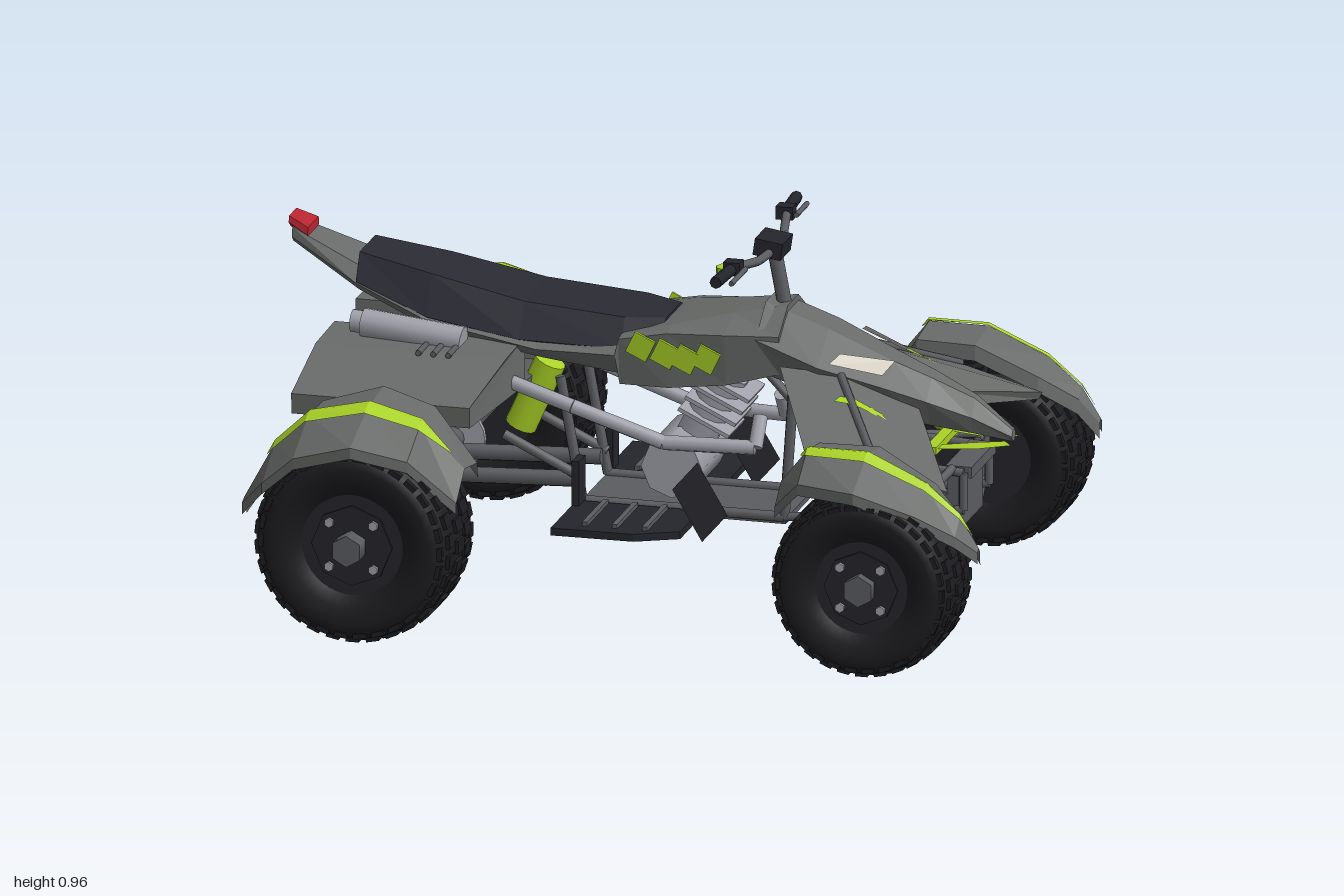
import * as THREE from 'three';
import { mergeGeometries } from 'three/addons/utils/BufferGeometryUtils.js';

const mat = (name, color) => {
  const m = new THREE.MeshStandardMaterial({ color, side: THREE.DoubleSide });
  m.name = name;
  return m;
};

export function createModel() {
  const M = {
    body: mat('bodyGrey', 0x686b69), frame: mat('frameGrey', 0x5c5d61), lime: mat('lime', 0xaad326),
    seat: mat('seatNavy', 0x2a2a34), tyre: mat('tyreBlack', 0x1d1d21), metal: mat('lightMetal', 0xa0a1aa),
    lamp: mat('lampCream', 0xcfcabc), red: mat('red', 0xb8252f), dark: mat('darkPlastic', 0x24252c),
  };
  const root = new THREE.Group();
  root.name = 'quadBike';
  const V = (p) => new THREE.Vector3(...p);

  const add = (name, geo, material, parent = root) => {
    const m = new THREE.Mesh(geo, material);
    m.name = name;
    parent.add(m);
    return m;
  };
  const box = (name, size, pos, material, parent = root) => {
    const m = add(name, new THREE.BoxGeometry(...size), material, parent);
    m.position.set(...pos);
    return m;
  };
  // straight round bar between two points
  const rod = (name, a, b, r, material = M.frame, sides = 8) => {
    const p = V(a), q = V(b);
    const m = add(name, new THREE.CylinderGeometry(r, r, p.distanceTo(q), sides), material);
    m.position.copy(p).lerp(q, 0.5);
    m.quaternion.setFromUnitVectors(new THREE.Vector3(0, 1, 0), q.sub(p).normalize());
    return m;
  };
  // chain of bars
  const pipe = (name, pts, r, material) => {
    for (let i = 1; i < pts.length; i++) rod(name, pts[i - 1], pts[i], r, material);
  };
  // faceted skin through rows of points; closed rows also get end caps
  const loft = (rows, closed) => {
    const out = [], n = rows[0].length;
    for (let i = 1; i < rows.length; i++) {
      for (let j = 0; j < (closed ? n : n - 1); j++) {
        const k = (j + 1) % n, a = rows[i - 1][j], b = rows[i - 1][k], c = rows[i][k], d = rows[i][j];
        out.push(a, b, c, a, c, d);
      }
    }
    if (closed) for (let j = 1; j < n - 1; j++) {
      const f = rows[0], l = rows[rows.length - 1];
      out.push(f[0], f[j + 1], f[j], l[0], l[j], l[j + 1]);
    }
    const g = new THREE.BufferGeometry();
    g.setAttribute('position', new THREE.Float32BufferAttribute(out.flat(), 3));
    g.computeVertexNormals();
    return g;
  };
  // section: x, then height and half width at bottom, middle and top
  const ring = ([x, yb, wb, ym, wm, yt, wt]) => [
    [x, yt, wt], [x, ym, wm], [x, yb, wb], [x, yb, -wb], [x, ym, -wm], [x, yt, -wt]];
  const hull = (name, secs, material) => add(name, loft(secs.map(ring), true), material);

  // Main bodywork, nose and seat
  hull('bodyShell', [
    [-0.99, .845, .03, .86, .045, .885, .04], [-.8, .745, .08, .77, .11, .81, .08],
    [-.6, .665, .11, .7, .155, .715, .13], [-.3, .62, .13, .655, .18, .675, .145],
    [-.09, .6, .145, .655, .175, .68, .145], [-.08, .575, .16, .7, .175, .705, .145],
    [.05, .575, .16, .725, .172, .735, .12], [.2, .59, .145, .73, .165, .765, .07],
    [.34, .625, .125, .73, .14, .79, .05]], M.body);
  hull('nose', [
    [.28, .63, .12, .72, .15, .795, .05], [.45, .57, .12, .665, .17, .735, .05],
    [.62, .52, .08, .61, .125, .66, .04], [.72, .5, .055, .57, .085, .62, .03],
    [.83, .48, .03, .525, .045, .57, .015], [.93, .46, .01, .475, .02, .49, .008]], M.body);
  hull('seat', [
    [-.8, .755, .08, .775, .112, .845, .075], [-.6, .69, .12, .708, .15, .81, .1],
    [-.35, .65, .13, .672, .162, .76, .11], [-.08, .64, .12, .668, .155, .74, .11],
    [.02, .69, .08, .715, .11, .735, .07]], M.seat);
  hull('tailLight', [[-1, .88, .02, .897, .04, .913, .035], [-.945, .855, .03, .87, .055, .89, .05]], M.red);
  const cap = add('fuelCap', new THREE.CylinderGeometry(.027, .027, .018, 8), M.lime);
  cap.position.set(.16, .855, 0);

  // Wheel with knobbly tyre, axle along z
  const wheel = (name, x, y, z, r, w, s, hubLength) => {
    const g = new THREE.Group();
    g.name = name;
    g.position.set(x, y, z * s);
    g.scale.z = s;
    root.add(g);
    const prof = [[.5, -.4], [.62, -.48], [.78, -.5], [.88, -.47], [.94, -.39], [.97, -.25], [.975, 0],
      [.97, .25], [.94, .39], [.88, .47], [.78, .5], [.62, .48], [.5, .4]];
    const lathe = new THREE.LatheGeometry(prof.map(([a, b]) => new THREE.Vector2(a * r, b * w)), 40);
    add('tyre', lathe.rotateX(Math.PI / 2), M.tyre, g);
    const knobs = [], n = 30;
    for (let i = 0; i < n; i++) {
      for (const [u, wid, off, rad] of [[-.44, .1, 0, .885], [-.33, .14, .5, .945], [-.12, .2, 0, .975],
        [.12, .2, .5, .975], [.33, .14, 0, .945], [.44, .1, .5, .885]]) {
        const k = new THREE.BoxGeometry(r * .13, r * .05, w * wid);
        k.translate(0, r * rad, u * w);
        knobs.push(k.rotateZ((i + off) / n * Math.PI * 2));
      }
    }
    add('treadKnobs', mergeGeometries(knobs), M.tyre, g);
    const disc = (nm, rad, len, zc, sides, m, px = 0, py = 0) => {
      const c = add(nm, new THREE.CylinderGeometry(rad, rad, len, sides).rotateX(Math.PI / 2), m, g);
      c.position.set(px, py, zc);
    };
    disc('rim', r * .52, w * .8, 0, 24, M.dark);
    disc('hubRing', r * .4, w * .05, w * .4, 8, M.dark);
    disc('hub', .042, hubLength, w * .4 + hubLength / 2, 6, M.frame);
    for (let i = 0; i < 4; i++) {
      const a = Math.PI / 4 + i * Math.PI / 2;
      disc('wheelNut', .013, .02, w * .42, 6, M.metal, Math.cos(a) * r * .31, Math.sin(a) * r * .31);
    }
  };

  // Wheel arch: x, inner z,y, ridge z,y, outer z,y
  const rearArch = [[-.95, .62, .33, .64, .34, .66, .33], [-.87, .53, .46, .63, .49, .76, .42],
    [-.78, .49, .57, .63, .575, .78, .5], [-.62, .48, .62, .63, .61, .805, .55],
    [-.48, .49, .58, .63, .575, .76, .51], [-.365, .5, .44, .62, .46, .7, .39]];
  const frontArch = [[.465, .5, .45, .56, .48, .62, .43], [.54, .46, .56, .58, .575, .67, .51],
    [.7, .45, .56, .58, .575, .715, .51], [.86, .48, .48, .58, .505, .68, .45],
    [.95, .54, .41, .58, .43, .63, .39], [1, .57, .34, .58, .35, .59, .34]];
  const mix = (a, b, t) => a.map((v, i) => v + (b[i] - v) * t);
  const arch = (name, secs, s) => {
    add(name, loft(secs.map(([x, zi, yi, zr, yr, zo, yo]) =>
      [[x, yi - .04, (zi - .005) * s], [x, yi, zi * s], [x, yr, zr * s], [x, yo, zo * s], [x, yo - .03, zo * s]])), M.body);
    // painted flash tapering along the ridge
    const path = [mix(secs[0], secs[1], .75), ...secs.slice(1, -1), mix(secs.at(-2), secs.at(-1), .7)];
    add(name + 'Stripe', loft(path.map(([x, zi, yi, zr, yr, zo, yo], i) => {
      const t = i === 0 || i === path.length - 1 ? .03 : .24;
      const point = (z, y) => [x, y + .009, z * s];
      return [point(...mix([zr, yr], [zi, yi], t * .5)), point(zr, yr), point(...mix([zr, yr], [zo, yo], t))];
    })), M.lime);
  };

  for (const s of [1, -1]) {
    wheel('rearWheel', -.63, .27, .635, .27, .28, s, .06);
    wheel('frontWheel', .715, .25, .585, .247, .25, s, .035);
    arch('rearFender', rearArch, s);
    arch('frontFender', frontArch, s);

    // Rear side deck, sloping down to the wheel
    add('rearDeck', loft([[-.86, -.012], [-.35, -.045]].map(([x, d]) =>
      [[x, .66, .1 * s], [x, .655, .28 * s], [x + d, .575, .47 * s], [x + d, .52, .465 * s], [x, .53, .1 * s]]), true), M.body);
    // Forward-swept front wing
    add('frontWing', loft([
      [[.37, .6, .14 * s], [.35, .66, .165 * s], [.51, .645, .14 * s], [.7, .55, .08 * s], [.7, .51, .06 * s]],
      [[.51, .48, .46 * s], [.5, .53, .46 * s], [.67, .515, .43 * s], [.88, .45, .45 * s], [.87, .43, .45 * s]]]), M.body);
    rod('wingStrut', [.51, .645, .15 * s], [.67, .52, .42 * s], .011);
    add('wingDecal', loft([[[.52, .608, .255 * s], [.53, .615, .232 * s]],
      [[.575, .603, .255 * s], [.565, .612, .228 * s]], [[.66, .566, .25 * s], [.645, .578, .235 * s]]]), M.lime);
    add('headlight', loft([[[.48, .675, .16 * s], [.5, .695, .125 * s]],
      [[.61, .642, .115 * s], [.63, .667, .06 * s]]]), M.lamp);
    // Side flashes
    for (const [x, y] of [[-.02, .685], [.045, .67], [.1, .66], [.155, .665]]) {
      const p = box('sideFlash', [.06, .062, .008], [x, y, .174 * s], M.lime);
      p.rotation.set(.06 * s, 0, -.45);
    }
    // Exhaust silencer, header and deck vents
    rod('silencer', [-.76, .69, .18 * s], [-.49, .665, .19 * s], .038, M.metal, 12);
    rod('silencerTip', [-.79, .692, .18 * s], [-.75, .69, .18 * s], .03, M.metal, 12);
    for (const x of [-.58, -.54, -.5]) rod('deckVent', [x, .657, .21 * s], [x, .657, .3 * s], .008);
    pipe('exhaustHeader', [[-.4, .57, .17 * s], [-.2, .51, .18 * s], [.04, .43, .17 * s],
      [.28, .43, .15 * s], [.28, .5, .1 * s]], .02, M.metal);

    // Tubular frame
    pipe('frameRail', [[-.25, .57, .12 * s], [-.19, .24, .12 * s], [.35, .24, .12 * s], [.375, .6, .12 * s]], .014);
    pipe('upperRail', [[.3, .62, .1 * s], [.5, .42, .12 * s], [.83, .4, .12 * s], [.83, .3, .12 * s], [.35, .24, .12 * s]], .012);
    rod('frameBrace', [-.19, .3, .12 * s], [-.4, .4, .12 * s], .014);
    rod('swingArm', [-.2, .29, .1 * s], [-.63, .27, .1 * s], .022);
    // Front suspension
    for (const x of [.58, .8]) {
      rod('lowerArm', [x, .24, .12 * s], [.715, .2, .47 * s], .012);
      rod('upperArm', [x, .41, .12 * s], [.715, .32, .47 * s], .012);
    }
    rod('steeringKnuckle', [.715, .18, .46 * s], [.715, .36, .46 * s], .022);
    rod('frontShock', [.66, .36, .36 * s], [.62, .51, .18 * s], .028, M.lime, 10);

    // Footwell: tray, slats and tilted toe guard
    add('footTray', loft([.225, .245].map((y) => [[-.2, y, .14 * s], [-.2, y, .39 * s],
      [.02, y, .385 * s], [.13, y, .33 * s], [.13, y, .14 * s]]), true), M.dark);
    for (const x of [-.12, -.04, .04]) box('traySlat', [.014, .012, .2], [x, .25, .25 * s], M.frame);
    add('toeGuard', loft([[[.2, .235, .13 * s], [.2, .235, .37 * s]],
      [[.12, .37, .13 * s], [.12, .37, .37 * s]]]), M.tyre);
    box('heelPlate', [.02, .12, .06], [-.19, .305, .16 * s], M.dark);

    // Handlebar half, grip and lever
    rod('handlebar', [.29, .925, .03 * s], [.28, .925, .12 * s], .012);
    rod('handlebar', [.28, .925, .12 * s], [.25, .945, .26 * s], .012);
    rod('grip', [.25, .943, .23 * s], [.24, .943, .385 * s], .016, M.dark);
    box('switchBox', [.045, .035, .04], [.25, .945, .25 * s], M.dark);
    rod('brakeLever', [.28, .94, .24 * s], [.275, .935, .36 * s], .007);
    // Lime chin prong
    add('chinProng', loft([[[.72, .45, .105 * s], [.72, .45, .07 * s]],
      [[.85, .455, .085 * s], [.83, .455, .03 * s]], [[.935, .46, .045 * s], [.91, .46, .012 * s]]]), M.lime);
    // Rear brake disc
    rod('brakeDisc', [-.63, .27, .21 * s], [-.63, .27, .225 * s], .085, M.metal, 20);
  }

  // Steering column and instrument block
  rod('steeringColumn', [.32, .76, 0], [.29, .92, 0], .02);
  box('instrumentBlock', [.075, .045, .1], [.285, .935, 0], M.dark).rotation.z = -.15;

  // Engine, drive and underside
  rod('engineCase', [.05, .35, -.13], [.05, .35, .13], .082, M.metal, 8);
  rod('engineCylinder', [.08, .4, 0], [.17, .58, 0], .055, M.metal, 10);
  for (let i = 0; i < 4; i++) {
    box('coolingFin', [.15, .01, .15], [.12 + i * .018, .46 + i * .033, 0], M.metal).rotation.z = -.45;
  }
  box('bellyPlate', [.55, .015, .25], [.08, .23, 0], M.frame);
  box('skidLip', [.11, .01, .23], [.415, .208, 0], M.frame);
  box('frontKeel', [.42, .015, .23], [.59, .255, 0], M.frame).rotation.z = .12;
  box('frontBulkhead', [.03, .15, .23], [.8, .315, 0], M.frame);
  box('frontBumper', [.07, .03, .23], [.815, .4, 0], M.frame);
  box('chinBar', [.03, .02, .23], [.74, .45, 0], M.lime);
  box('undertray', [.5, .015, .2], [-.6, .53, 0], M.frame);
  rod('rearShock', [-.39, .39, 0], [-.31, .57, 0], .042, M.lime, 12);
  rod('rearAxle', [-.63, .27, -.56], [-.63, .27, .56], .03, M.frame, 12);

  return root;
}
